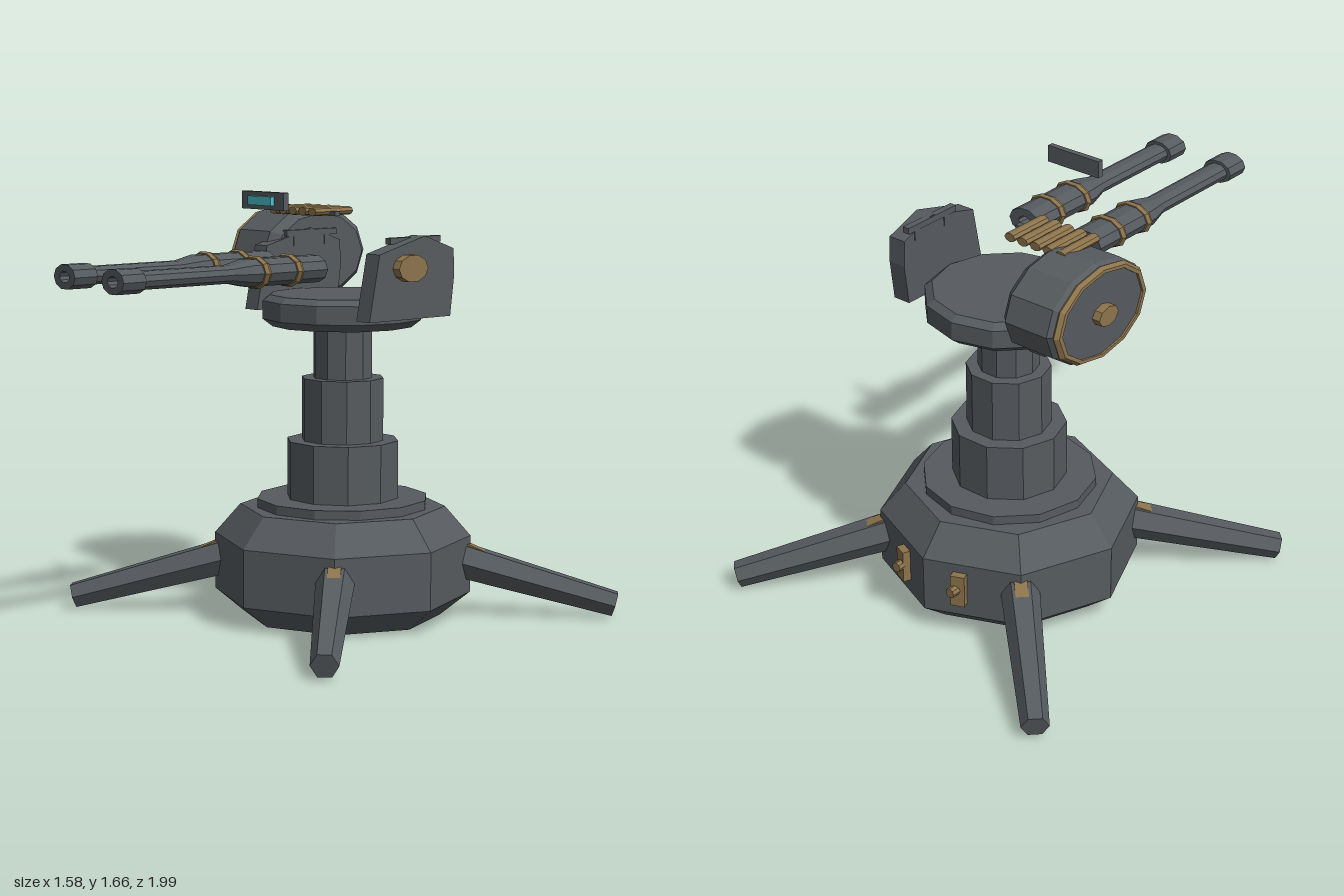
import * as THREE from 'three';

const mat = (name, color) => {
  const m = new THREE.MeshStandardMaterial({ color, flatShading: true });
  m.name = name;
  return m;
};

export function createModel() {
  const steel = mat('steel grey', 0x565b5f);
  const brass = mat('brass', 0x8c744c);
  const cyan = mat('cyan lens', 0x4cc0cc);
  const model = new THREE.Group();
  model.name = 'turret';
  const CZ = -0.2; // turret axis
  const SQUASH = 0.7; // head parts are flattened in height

  const add = (name, geo, material, x = 0, y = 0, z = 0, parent = model) => {
    const m = new THREE.Mesh(geo, material);
    m.name = name;
    m.position.set(x, y, z);
    parent.add(m);
    return m;
  };
  const lathe = (pts, sides) =>
    new THREE.LatheGeometry(pts.map(([r, h]) => new THREE.Vector2(r, h)), sides);
  const box = (w, h, d) => new THREE.BoxGeometry(w, h, d);

  // Base, collar and telescoping column
  add('base', lathe([[0, 0], [0.385, 0], [0.5, 0.092], [0.5, 0.315], [0.4, 0.43], [0, 0.43]], 8), steel, 0, 0, CZ);
  add('collar', lathe([[0, 0.42], [0.336, 0.42], [0.336, 0.465], [0, 0.465]], 12), steel, 0, 0, CZ);
  [[0.22, 0.45, 0.69], [0.161, 0.68, 0.933], [0.116, 0.92, 1.15]].forEach(([r, y0, y1], i) => {
    const g = lathe([[0, y0], [r, y0], [r, y1], [0, y1]], 10).rotateY(Math.PI / 2);
    add('columnStage' + (i + 1), g, steel, 0, 0, CZ);
  });
  add('platform', lathe([[0, 1.135], [0.275, 1.135], [0.314, 1.165], [0.314, 1.235], [0.285, 1.257], [0, 1.257]], 12), steel, 0, 0, CZ);

  // Four splayed legs with brass braces
  for (let i = 0; i < 4; i++) {
    const leg = new THREE.Group();
    leg.name = 'leg' + (i + 1);
    leg.position.z = CZ;
    leg.rotation.y = Math.PI / 4 + (i * Math.PI) / 2;
    model.add(leg);
    const [d0, y0, d1, y1] = [0.4, 0.236, 1.062, 0.053];
    const slope = Math.atan2(y0 - y1, d1 - d0);
    const g = new THREE.CylinderGeometry(0.052, 0.076, Math.hypot(d1 - d0, y0 - y1), 6);
    g.rotateZ(-Math.PI / 2 - slope);
    add('strut', g, steel, (d0 + d1) / 2, (y0 + y1) / 2, 0, leg);
    add('brace', box(0.23, 0.04, 0.05).rotateZ(-0.41), brass, 0.562, 0.232, 0, leg);
  }

  // Latches on the back of the base
  for (const s of [-1, 1]) {
    add('latchPlate', box(0.055, 0.13, 0.05).rotateY(s * -0.39), brass, s * 0.135, 0.215, -0.65);
    add('latchKnob', new THREE.CylinderGeometry(0.02, 0.02, 0.06, 8).rotateX(Math.PI / 2), brass, s * 0.135, 0.22, -0.675);
  }

  // Twin hollow barrels
  const barrelProfile = [
    [0.03, 0.07], [0.075, 0.07], [0.075, 0.41], [0.049, 0.495], [0.049, 0.9],
    [0.066, 0.9], [0.066, 1.0], [0.03, 1.0], [0.03, 0.07],
  ];
  const ringProfile = [[0.072, -0.014], [0.082, -0.014], [0.09, 0], [0.082, 0.014], [0.072, 0.014]];
  const along = (pts) => lathe(pts, 10).rotateY(Math.PI / 2).rotateX(Math.PI / 2).scale(1, SQUASH, 1);
  for (const s of [-1, 1]) {
    add('barrel', along(barrelProfile), steel, s * 0.145, 1.377, 0);
    for (const z of [0.205, 0.36]) add('barrelRing', along(ringProfile), brass, s * 0.145, 1.377, z);
  }

  // Side brackets with pivots and inner rails
  const outline = [[0.01, 1.183], [0.425, 1.183], [0.445, 1.34], [0.44, 1.44], [0.29, 1.493], [0.06, 1.432]];
  const shape = new THREE.Shape(outline.map(([a, b]) => new THREE.Vector2(a, b)));
  for (const s of [-1, 1]) {
    const g = new THREE.ExtrudeGeometry(shape, { depth: 0.073, bevelEnabled: false }).rotateY(Math.PI / 2);
    add('bracket', g, steel, s > 0 ? 0.288 : -0.361, 0, 0);
    const pivot = new THREE.CylinderGeometry(0.074, 0.074, 0.05, 10).rotateZ(Math.PI / 2).scale(1, SQUASH, 1);
    add('pivot', pivot, brass, s * 0.372, 1.377, CZ);
    add('rail', box(0.027, 0.024, 0.26), steel, s * 0.298, 1.475, -0.29);
    for (const z of [-0.21, -0.37]) add('railPost', box(0.022, 0.05, 0.03), steel, s * 0.296, 1.45, z);
  }

  // Ammunition drum on the right side
  const drum = new THREE.Group();
  drum.name = 'ammoDrum';
  drum.position.set(0, 1.39, -0.345);
  drum.scale.y = SQUASH;
  model.add(drum);
  const across = (pts, sides = 12) => lathe(pts, sides).rotateZ(Math.PI / 2);
  add('drumBody', across([[0, 0.3], [0.225, 0.3], [0.265, 0.335], [0.265, 0.52], [0.24, 0.552], [0, 0.552]]), steel, 0, 0, 0, drum);
  add('drumRim', across([[0.25, 0.535], [0.257, 0.545], [0.243, 0.56], [0.225, 0.56], [0.225, 0.545]]), brass, 0, 0, 0, drum);
  add('drumHub', across([[0, 0.54], [0.054, 0.54], [0.054, 0.584], [0, 0.584]], 8), brass, 0, 0, 0, drum);

  // Ammunition belt
  add('beltLink', box(0.29, 0.018, 0.026), steel, -0.245, 1.557, -0.26);
  for (let i = 0; i < 5; i++) {
    const g = new THREE.CylinderGeometry(0.024, 0.024, 0.192, 8).rotateX(Math.PI / 2).scale(1, SQUASH, 1);
    add('cartridge', g, brass, -0.382 + i * 0.058, 1.565, -0.268);
  }

  // Sight with lens
  add('sight', box(0.24, 0.066, 0.024), steel, 0, 1.627, 0.19);
  add('sightLens', box(0.132, 0.034, 0.018), cyan, 0, 1.627, 0.21);

  return model;
}
